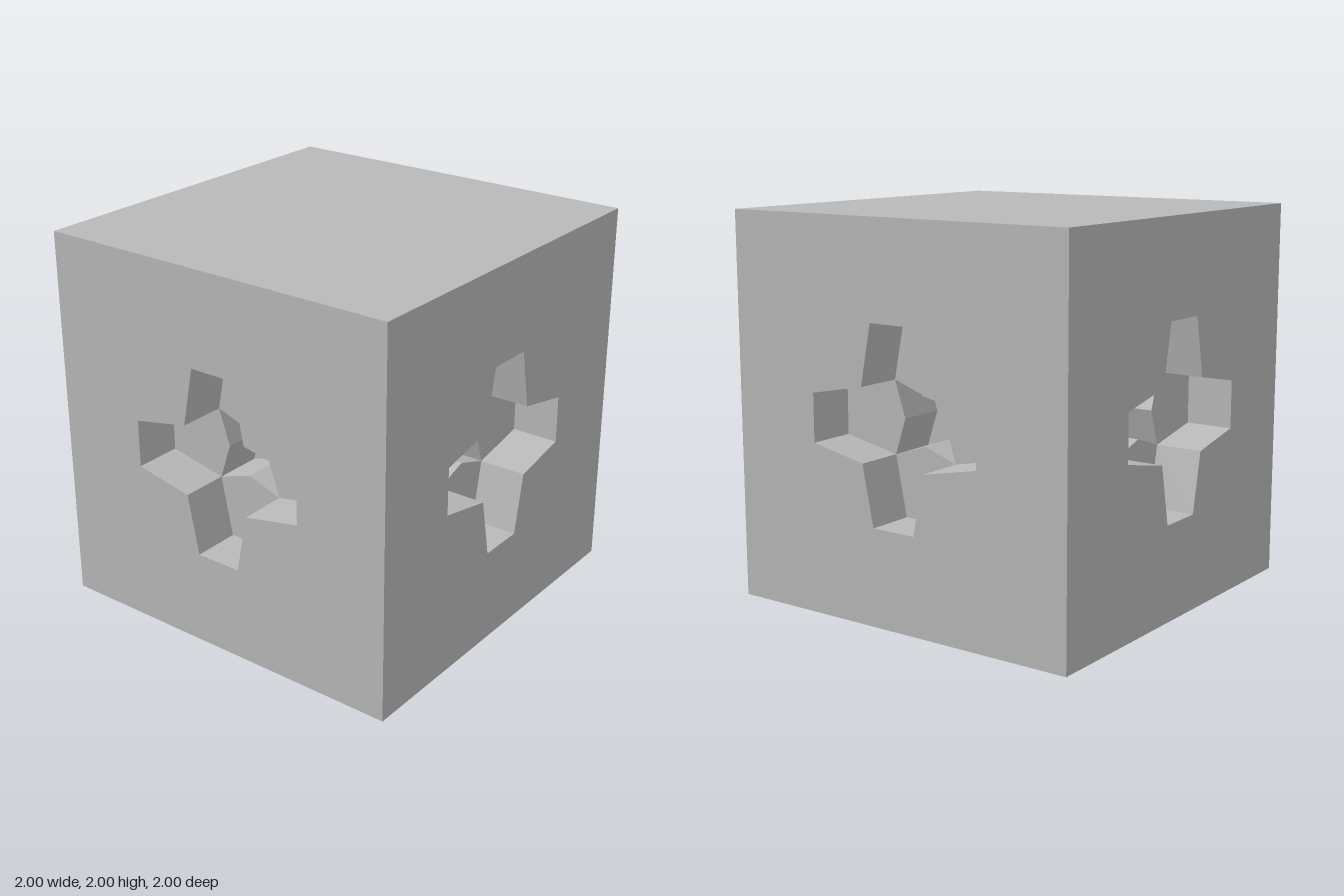
import * as THREE from 'three';

const ARM = 0.5, TIP = 0.125, CORNER = 0.1875, NOTCH = 0.125;
const FACE_Z = 1, ARM_Z = 0.75, PIT_Z = 0.5;

const vec = (x, y) => new THREE.Vector2(x, y);
const quarter = (p, k) => {
  let [x, y] = [p.x, p.y];
  for (let i = 0; i < k; i++) [x, y] = [-y, x];
  return vec(x, y);
};
// repeats a few points four times around the centre, counter-clockwise
const fourfold = (pts) => [0, 1, 2, 3].flatMap((k) => pts.map((p) => quarter(p, k)));

// straight walls facing the inside of a counter-clockwise outline
function wallGeometry(outline, zFront, zBack) {
  const pos = [];
  outline.forEach((a, i) => {
    const b = outline[(i + 1) % outline.length];
    pos.push(a.x, a.y, zFront, b.x, b.y, zFront, b.x, b.y, zBack);
    pos.push(a.x, a.y, zFront, b.x, b.y, zBack, a.x, a.y, zBack);
  });
  const g = new THREE.BufferGeometry();
  g.setAttribute('position', new THREE.Float32BufferAttribute(pos, 3));
  g.computeVertexNormals();
  return g;
}

export function createModel() {
  const grey = new THREE.MeshStandardMaterial({ color: 0xb8b8b8 });
  grey.name = 'grey';
  const model = new THREE.Group();
  model.name = 'carvedCube';

  const cross = fourfold([vec(CORNER, -CORNER), vec(ARM, -TIP), vec(ARM, TIP)]);
  const star = fourfold([vec(CORNER, -CORNER), vec(NOTCH, 0)]);

  // square face with a cross-shaped opening
  const panel = new THREE.Shape([vec(-1, -1), vec(1, -1), vec(1, 1), vec(-1, 1)]);
  panel.holes.push(new THREE.Path(cross));

  // floor of each cross arm, notched by the star pit
  const armFloors = [0, 1, 2, 3].map((k) => new THREE.Shape(
    [vec(CORNER, -CORNER), vec(ARM, -TIP), vec(ARM, TIP), vec(CORNER, CORNER), vec(NOTCH, 0)]
      .map((p) => quarter(p, k))));

  const flat = (shapes, z) => new THREE.ShapeGeometry(shapes).translate(0, 0, z);
  const parts = {
    facePanel: flat(panel, FACE_Z),
    crossWalls: wallGeometry(cross, FACE_Z, ARM_Z),
    armFloors: flat(armFloors, ARM_Z),
    pitWalls: wallGeometry(star, ARM_Z, PIT_Z),
    pitFloor: flat(new THREE.Shape(star), PIT_Z),
  };

  // four identical carved sides
  ['front', 'left', 'back', 'right'].forEach((name, i) => {
    const side = new THREE.Group();
    side.name = name + 'Side';
    for (const [part, geometry] of Object.entries(parts)) {
      const mesh = new THREE.Mesh(geometry, grey);
      mesh.name = part;
      side.add(mesh);
    }
    side.position.y = 1;
    side.rotation.y = i * Math.PI / 2;
    model.add(side);
  });

  // plain top and bottom
  for (const [name, y, turn] of [['top', 2, -1], ['bottom', 0, 1]]) {
    const mesh = new THREE.Mesh(new THREE.PlaneGeometry(2, 2), grey);
    mesh.name = name;
    mesh.position.y = y;
    mesh.rotation.x = turn * Math.PI / 2;
    model.add(mesh);
  }
  return model;
}
